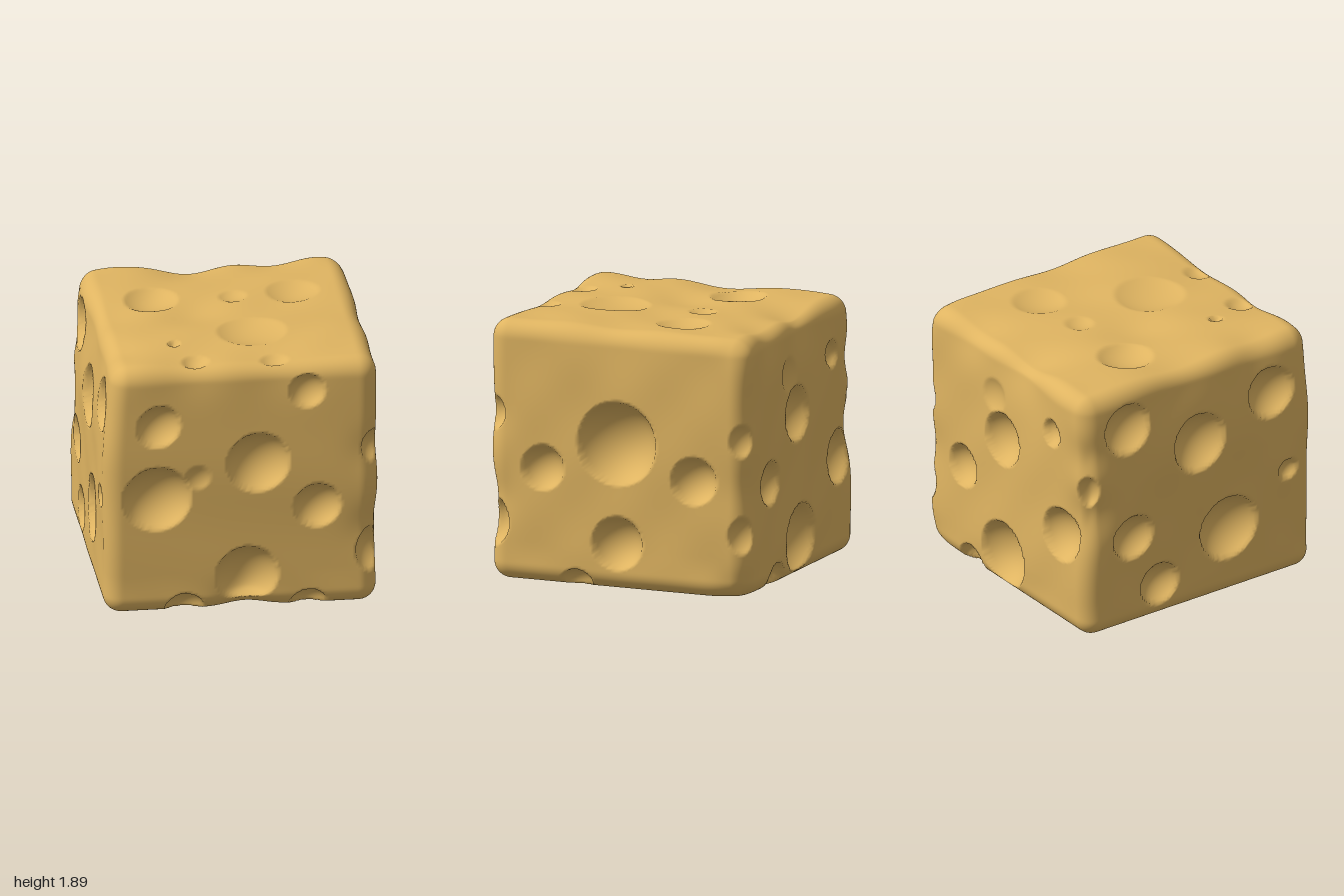
import * as THREE from 'three';
import { mergeVertices } from 'three/addons/utils/BufferGeometryUtils.js';

const HX = 0.97, HZ = 0.99, H = 1.875, ROUND = 0.13, N = 108;

// Holes per face: [u, v, rim radius, depth / radius]
const D = 0.68;
const faces = {
  front: { at: (x, y) => [x, y, HZ], out: [0, 0, 1], holes: [
    [-0.6, 1.44, 0.155, D], [-0.6, 0.89, 0.24, D], [0.12, 1.13, 0.22, D], [0.47, 1.66, 0.125, D],
    [0.54, 0.78, 0.165, D], [0.04, 0.27, 0.22, D], [-0.31, 1.04, 0.09, 0.3]] },
  right: { at: (z, y) => [HX, y, z], out: [1, 0, 0], holes: [
    [0, 1.06, 0.3, D], [0.57, 0.84, 0.16, D], [-0.59, 0.84, 0.17, D], [0, 0.34, 0.19, D]] },
  back: { at: (x, y) => [x, y, -HZ], out: [0, 0, -1], holes: [
    [0.05, 1.18, 0.2, D], [0.52, 0.77, 0.16, D], [0.02, 0.28, 0.25, D], [-0.66, 0.73, 0.2, D],
    [0.16, 1.48, 0.13, 0.25], [-0.56, 1.49, 0.1, D]] },
  left: { at: (z, y) => [-HX, y, z], out: [-1, 0, 0], holes: [
    [-0.61, 1.57, 0.19, D], [0, 1.28, 0.22, D], [0.63, 1.48, 0.19, D], [-0.58, 0.71, 0.17, D],
    [0.25, 0.53, 0.24, D], [-0.35, 0.27, 0.16, D], [0.76, 0.84, 0.08, D]] },
  top: { at: (x, z) => [x, H, z], out: [0, 1, 0], holes: [
    [-0.5, -0.3, 0.2, 0.3], [0.15, 0.37, 0.25, 0.2], [0.53, -0.32, 0.19, 0.2],
    [0.1, -0.28, 0.1, 0.25], [-0.44, 0.53, 0.04, 1], [-0.32, 0.82, 0.1, 0.35], [0.25, 0.86, 0.1, 0.3]] },
  bottom: { at: (x, z) => [x, 0, z], out: [0, -1, 0], holes: [
    [0.5, -0.06, 0.15, D], [0.04, -0.38, 0.155, D], [-0.01, 0.57, 0.17, D], [-0.65, 0.04, 0.155, D]] },
};

// Bites out of the edges: [x, y, z, radius, outward direction]
const bites = [
  [1, 1.2, 1.01, 0.15, [1, 0, 1]], [1, 0.41, 1.02, 0.19, [1, 0, 1]],
  [0.99, 1.15, -1, 0.14, [1, 0, -1]], [1, 0.47, -1.01, 0.16, [1, 0, -1]],
  [-0.98, 1.15, -1, 0.14, [-1, 0, -1]],
  [-0.4, 0, 0.99, 0.15, [0, -1, 1]], [0.48, 0, 0.99, 0.14, [0, -1, 1]],
  [0.97, 0, 0.32, 0.13, [1, -1, 0]], [0.42, 0.04, -0.99, 0.14, [0, -1, -1]],
];

// Broad soft hollows: [x, y, z, radius, depth]
const hollows = [
  [-0.15, H, -0.97, 0.28, 0.08], [0.45, H, -0.97, 0.25, 0.06], [-0.95, H, -0.05, 0.35, 0.05],
  [-0.95, H, 0.55, 0.2, 0.04], [0.3, H, 0.97, 0.25, 0.03], [-0.35, H, 0.97, 0.22, 0.03],
  [0.97, H, -0.95, 0.15, 0.03], [-0.2, H, 0, 0.25, 0.03], [0.97, H, 0.1, 0.25, 0.02],
  [0.45, H, -0.1, 0.3, 0.02], [-0.97, H, -0.97, 0.2, 0.04], [-0.97, H, 0.97, 0.15, 0.02],
  [-0.97, 0.95, -0.98, 0.2, 0.06], [-0.97, 1.4, -0.98, 0.16, 0.05], [0.97, 0.8, -0.98, 0.2, 0.03],
  [0.97, 0.6, 0.98, 0.17, 0.03], [0.95, 1.18, 0.98, 0.16, 0.02], [0.97, 0.05, -0.95, 0.15, 0.04],
  [0.04, 0.05, 0.98, 0.17, 0.05],
].map(([x, y, z, r, d]) => ({ c: new THREE.Vector3(x, y, z), r, d }));

// Each hole is a sphere plus the direction in which the surface is pressed
function makeCutters() {
  const cutters = [];
  for (const { at, out, holes } of Object.values(faces)) {
    const o = new THREE.Vector3(...out);
    for (const [u, v, rim, k] of holes) {
      const d = rim * k, r = (rim * rim + d * d) / (2 * d);
      const c = new THREE.Vector3(...at(u, v)).addScaledVector(o, r - d);
      cutters.push({ c, r, dir: o.clone().negate() });
    }
  }
  for (const [x, y, z, r, out] of bites) {
    cutters.push({ c: new THREE.Vector3(x, y, z), r, dir: new THREE.Vector3(...out).normalize().negate() });
  }
  return cutters;
}

// Offset of the skin: gentle unevenness minus the hollows, flat at the base
function skinOffset(p) {
  const wobble = 0.005 * (Math.sin(4.1 * p.x + 2.3 * p.y + 1) + Math.sin(3.7 * p.y - 4.4 * p.z + 2)
    + Math.sin(9.3 * p.z + 5.1 * p.x) * Math.sin(8.2 * p.y + 6.4 * p.x + 0.5));
  let offset = wobble * THREE.MathUtils.smoothstep(p.y, 0, 0.3);
  for (const { c, r, d } of hollows) offset -= d * Math.exp(-p.distanceToSquared(c) / (r * r));
  return offset;
}

function blockGeometry() {
  let geo = new THREE.BoxGeometry(2 * HX, H, 2 * HZ, N, N, N);
  geo.deleteAttribute('uv');
  geo.deleteAttribute('normal');
  geo.translate(0, H / 2, 0);
  geo = mergeVertices(geo, 1e-4);

  const cutters = makeCutters();
  const pos = geo.attributes.position;
  const lo = new THREE.Vector3(-HX + ROUND, ROUND, -HZ + ROUND);
  const hi = new THREE.Vector3(HX - ROUND, H - ROUND, HZ - ROUND);
  const p = new THREE.Vector3(), core = new THREE.Vector3(), n = new THREE.Vector3(), rel = new THREE.Vector3();
  for (let i = 0; i < pos.count; i++) {
    // Rounded edges
    p.fromBufferAttribute(pos, i);
    core.copy(p).clamp(lo, hi);
    n.copy(p).sub(core).normalize();
    p.copy(core).addScaledVector(n, ROUND);
    const offset = skinOffset(p);
    // Press vertices lying inside a sphere onto its far side
    for (const { c, r, dir } of cutters) {
      rel.copy(p).sub(c);
      const gap = rel.lengthSq() - r * r;
      if (gap >= 0) continue;
      const b = rel.dot(dir);
      p.addScaledVector(dir, -b + Math.sqrt(b * b - gap));
    }
    p.addScaledVector(n, offset);
    // Upper left side leans in a little
    if (p.x < 0) p.x *= 1 - 0.045 * THREE.MathUtils.smoothstep(p.y, 1.1, H);
    pos.setXYZ(i, p.x, p.y, p.z);
  }

  // Stand on the ground, centred
  geo.computeBoundingBox();
  const { min, max } = geo.boundingBox;
  geo.translate(-(min.x + max.x) / 2, -min.y, -(min.z + max.z) / 2);
  geo.computeVertexNormals();
  return geo;
}

export function createModel() {
  const group = new THREE.Group();
  group.name = 'cheeseCube';
  const cheese = new THREE.MeshStandardMaterial({ color: 0xdfb461 });
  cheese.name = 'cheeseYellow';
  const block = new THREE.Mesh(blockGeometry(), cheese);
  block.name = 'cheeseBlock';
  group.add(block);
  return group;
}
